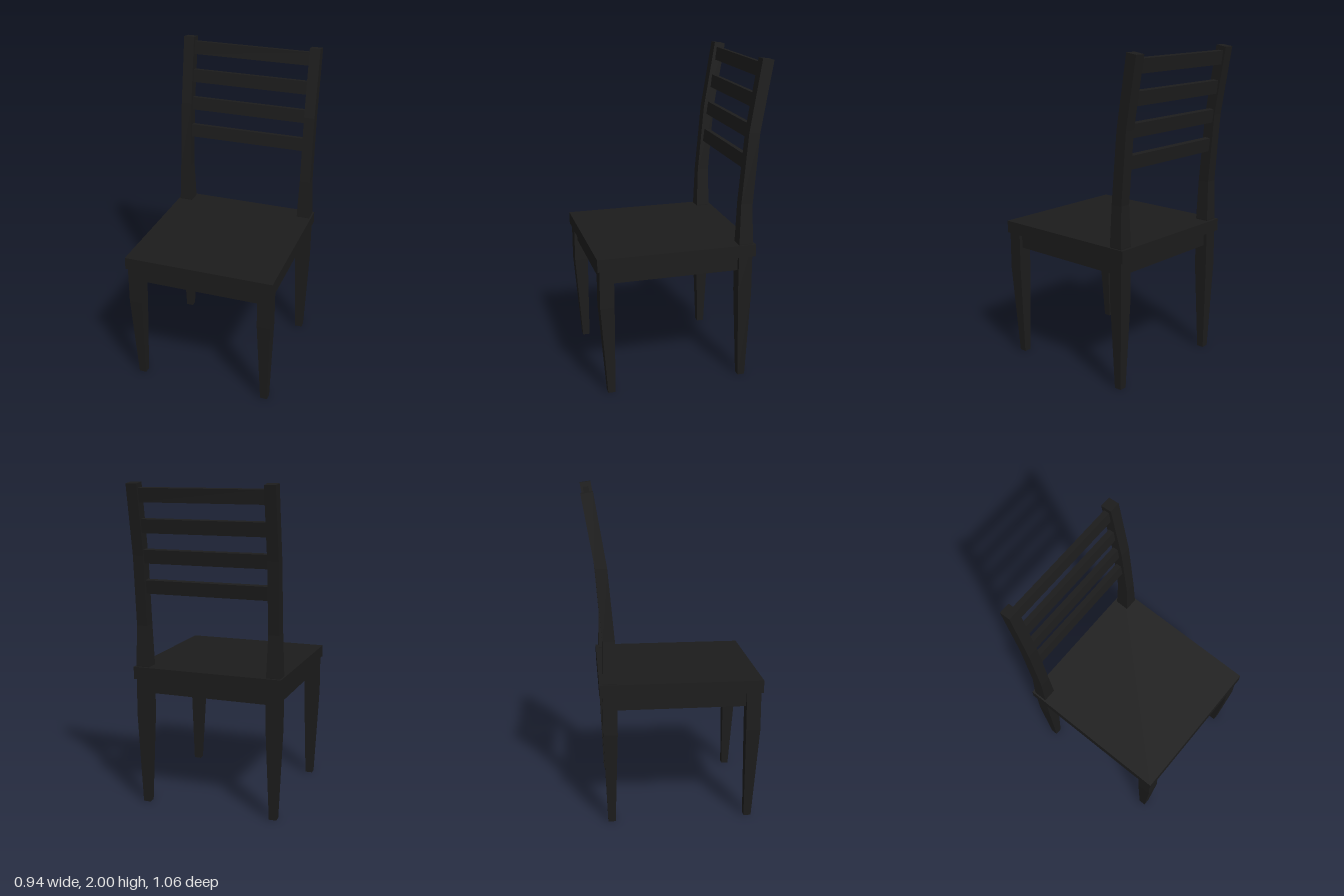
import * as THREE from 'three';

// Square post lofted through sections [y, inner x, outer x, back z, front z, drop of back edge]
function post(sections, side) {
  const pos = [];
  const rings = sections.map(([y, xi, xo, zb, zf, drop = 0]) => {
    const a = Math.min(side * xi, side * xo), b = Math.max(side * xi, side * xo);
    return [[a, y, zf], [b, y, zf], [b, y - drop, zb], [a, y - drop, zb]];
  });
  const quad = (a, b, c, d) => pos.push(...a, ...b, ...c, ...a, ...c, ...d);
  for (let i = 0; i < rings.length - 1; i++) {
    const lo = rings[i], hi = rings[i + 1];
    for (let k = 0; k < 4; k++) {
      const n = (k + 1) % 4;
      quad(lo[k], lo[n], hi[n], hi[k]);
    }
  }
  const bottom = rings[0], top = rings[rings.length - 1];
  quad(bottom[3], bottom[2], bottom[1], bottom[0]);
  quad(top[0], top[1], top[2], top[3]);
  const geo = new THREE.BufferGeometry();
  geo.setAttribute('position', new THREE.Float32BufferAttribute(pos, 3));
  geo.computeVertexNormals();
  return geo;
}

export function createModel() {
  const group = new THREE.Group();
  group.name = 'chair';
  const wood = new THREE.MeshStandardMaterial({ color: 0x1c1c1c });
  wood.name = 'black stained wood';

  const add = (name, geo, x = 0, y = 0, z = 0, tilt = 0) => {
    const mesh = new THREE.Mesh(geo, wood);
    mesh.name = name;
    mesh.position.set(x, y, z);
    mesh.rotation.x = tilt;
    group.add(mesh);
  };
  const box = (w, h, d) => new THREE.BoxGeometry(w, h, d);

  // Seat board and the solid apron block beneath it
  add('seat', box(0.938, 0.077, 0.98), 0, 0.8465, 0.04);
  add('apron', box(0.876, 0.09, 0.908), 0, 0.763, 0.044);

  // Tapered front legs, and back legs that run on into the raked back posts
  const frontLeg = [
    [0, 0.393, 0.439, 0.43, 0.475],
    [0.57, 0.374, 0.459, 0.43, 0.517],
    [0.82, 0.374, 0.459, 0.43, 0.517],
  ];
  const backLeg = [
    [0, 0.393, 0.439, -0.411, -0.366],
    [0.57, 0.374, 0.459, -0.432, -0.346],
    [0.89, 0.374, 0.459, -0.432, -0.346],
    [1.14, 0.383, 0.451, -0.426, -0.353],
    [1.57, 0.383, 0.451, -0.459, -0.39],
    [2.0, 0.383, 0.451, -0.53, -0.46, 0.01],
  ];
  for (const [label, side] of [['left', 1], ['right', -1]]) {
    add(label + 'FrontLeg', post(frontLeg, side));
    add(label + 'BackLeg', post(backLeg, side));
  }

  // Back slats, leaning with the posts: [y, z]
  const slats = [[1.381, -0.41], [1.565, -0.432], [1.746, -0.458], [1.926, -0.487]];
  for (const [y, z] of slats) {
    add('backSlat', box(0.78, 0.083, 0.036), 0, y, z, -0.12);
  }
  return group;
}
